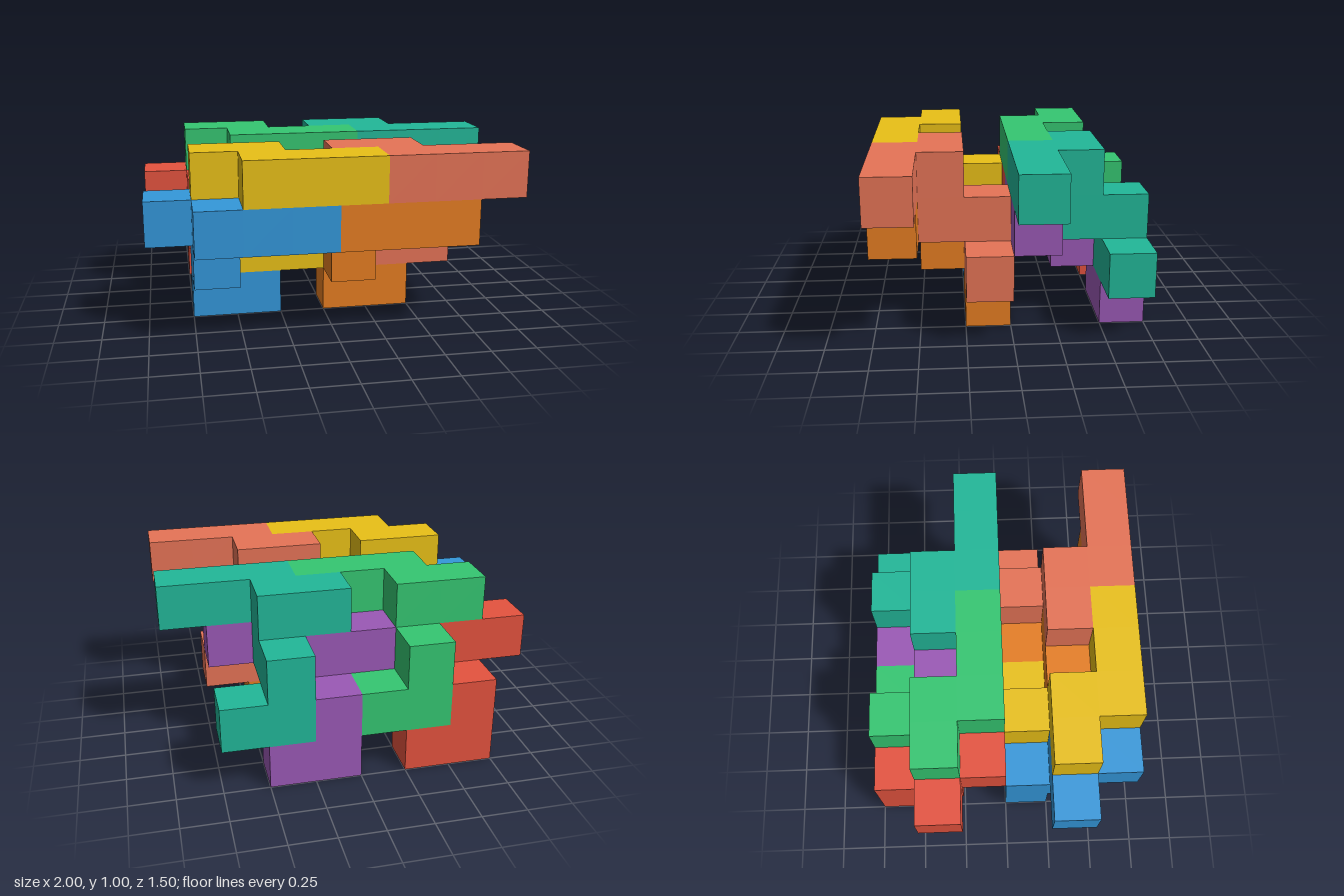
import * as THREE from 'three';
import { mergeGeometries } from 'three/addons/utils/BufferGeometryUtils.js';

const U = 0.25; // edge of one unit cube

// cubes of one puzzle piece: [x, y, z] in grid cells
const CELLS = [
  [1, 2, 5], [2, 2, 5], [3, 2, 5], // front bar
  [0, 2, 4], [1, 2, 4],            // offset bar behind it
  [1, 1, 4], [1, 1, 3],            // step down and back
  [1, 0, 3], [2, 0, 3],            // foot
];

// outward face directions with the rotation that turns a +z plane towards them
const SIDES = [
  [[0, 0, 1], 0, 0], [[0, 0, -1], 0, Math.PI],
  [[1, 0, 0], 0, Math.PI / 2], [[-1, 0, 0], 0, -Math.PI / 2],
  [[0, 1, 0], -Math.PI / 2, 0], [[0, -1, 0], Math.PI / 2, 0],
];

// joins the cubes, leaving out faces shared by two of them
function pieceGeometry() {
  const filled = new Set(CELLS.map(String));
  const faces = [];
  for (const c of CELLS) {
    for (const [d, rx, ry] of SIDES) {
      if (filled.has(String(c.map((v, i) => v + d[i])))) continue;
      const face = new THREE.PlaneGeometry(U, U).rotateX(rx).rotateY(ry);
      const [x, y, z] = c.map((v, i) => (v + 0.5 + d[i] / 2) * U);
      faces.push(face.translate(x - 1, y, z - 0.75));
    }
  }
  return mergeGeometries(faces);
}

export function createModel() {
  const model = new THREE.Group();
  model.name = 'interlockingPieces';
  const geometry = pieceGeometry();

  // eight identical pieces: name, colour, shift in cells
  const pieces = [
    ['bluePiece', 0x3498db, 0, 0, 0],
    ['yellowPiece', 0xeac117, 1, 1, 0],
    ['orangePiece', 0xe67e22, 3, 0, 0],
    ['coralPiece', 0xe67457, 4, 1, 0],
    ['redPiece', 0xe5533f, 0, 0, -3],
    ['greenPiece', 0x35c772, 1, 1, -3],
    ['purplePiece', 0x9b59b6, 3, 0, -3],
    ['tealPiece', 0x22b899, 4, 1, -3],
  ];
  for (const [name, color, x, y, z] of pieces) {
    const mesh = new THREE.Mesh(geometry, new THREE.MeshStandardMaterial({ color }));
    mesh.name = name;
    mesh.position.set(x * U, y * U, z * U);
    model.add(mesh);
  }
  return model;
}
